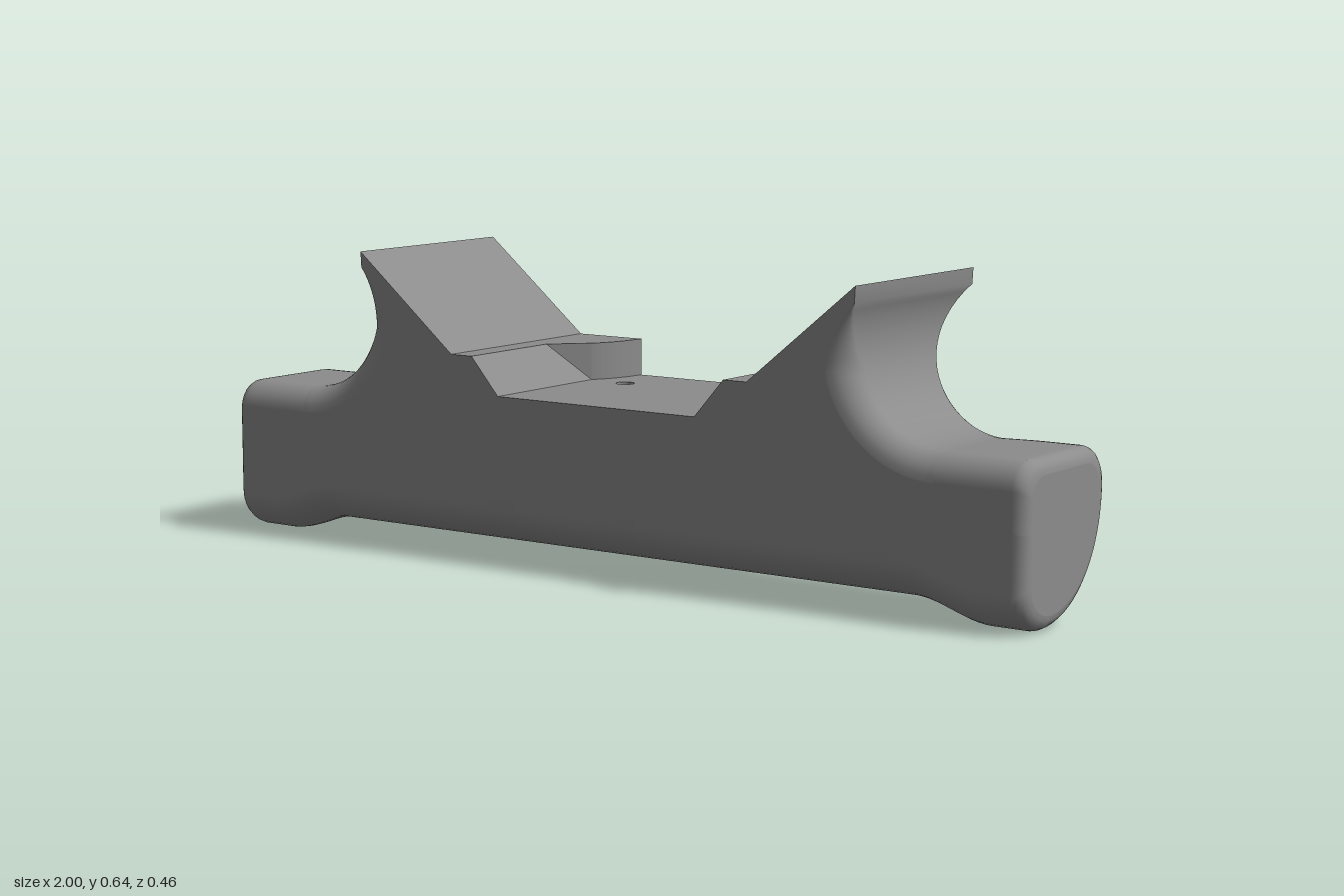
import * as THREE from 'three';

const FRONT = 0.228, BACK = -0.228, HOLE_X = 0.155, HOLE_Z = -0.095;
const lerp = THREE.MathUtils.lerp;
const range = (a, b, n) => Array.from({ length: n + 1 }, (_, i) => lerp(a, b, i / n));

// Surface from a rectangular grid of points fn(i, j) -> [x, y, z]
function grid(ni, nj, fn, flip = false, flat = false) {
  const pos = [], idx = [];
  for (let i = 0; i < ni; i++) for (let j = 0; j < nj; j++) pos.push(...fn(i, j));
  for (let i = 0; i < ni - 1; i++) for (let j = 0; j < nj - 1; j++) {
    const a = i * nj + j, b = a + nj, c = b + 1, d = a + 1;
    if (flip) idx.push(a, c, b, a, d, c);
    else idx.push(a, b, c, a, c, d);
  }
  let g = new THREE.BufferGeometry();
  g.setAttribute('position', new THREE.Float32BufferAttribute(pos, 3));
  g.setIndex(idx);
  if (flat) g = g.toNonIndexed();
  g.computeVertexNormals();
  return g;
}

// Vertical screw clearance cut into the back of the grip
function carve(x, y, z) {
  const dx = Math.abs(Math.abs(x) - HOLE_X), r = 0.04;
  if (dx >= r || y > 0.305 || z > 0) return z;
  return Math.max(z, HOLE_Z + Math.sqrt(r * r - dx * dx));
}

// Closed cross-section of the grip at x, as [z, y]
function section(x, inset) {
  const f = THREE.MathUtils.smoothstep(Math.abs(x), 0.73, 0.9);
  const y0 = 0.04 * (1 - f), zb = -0.085 - 0.02 * f, pts = [[FRONT, 0.2]];
  const arc = (cz, cy, a, b, from, to, n) => range(from, to, n).forEach((d) => {
    const t = d * Math.PI / 180;
    pts.push([cz + a * Math.cos(t), cy + b * Math.sin(t)]);
  });
  arc(0.173, 0.28, 0.055, 0.055, 0, 90, 6);
  arc(zb + 0.07, 0.265, 0.07, 0.07, 90, 180, 7);
  arc(0.13, 0.26, 0.13 - zb, 0.26 - y0, 180, 270, 28);
  arc(0.13, y0 + 0.08, 0.098, 0.08, 270, 360, 8);
  pts.push([FRONT, 0.2]);
  const k = 1 - inset / 0.165;
  return pts.map(([z, y]) => [0.08 + (z - 0.08) * k, 0.17 + (y - 0.17) * k]);
}

// Cradle stations from the centre to the wing tip: top, lip underside, root on the grip
const TOP = [[0, 0.36], [0.1, 0.36], [0.21, 0.36], [0.25, 0.36], [0.32, 0.44], [0.375, 0.44], [0.625, 0.645]];
const LIP = [[0, 0.335], [0.1, 0.335], [0.21, 0.335], [0.25, 0.337], [0.32, 0.36], [0.375, 0.39], [0.623, 0.611]];
const ROOT = [[0, 0.24], [0.1, 0.24], [0.21, 0.24], [0.3, 0.24], [0.38, 0.24], [0.46, 0.24], [0.8, 0.335]];
const at = (path, u) => {
  const i = Math.min(5, Math.floor(u)), t = u - i;
  return [lerp(path[i][0], path[i + 1][0], t), lerp(path[i][1], path[i + 1][1], t)];
};

// Point on the cradle: v = -1 top, 0 lip, 1 root; the outer edge follows a concave arc
function cradlePoint(u, v, inset = 0) {
  const l = at(LIP, u);
  if (v <= 0) {
    const t = at(TOP, u);
    return [lerp(l[0], t[0], -v), lerp(l[1], t[1], -v)];
  }
  const b = at(ROOT, u), w = Math.pow(Math.max(0, u - 5), 1.3);
  const th = lerp(155.5, 270, v) * Math.PI / 180, R = 0.195 + inset;
  const ax = 0.8 + R * Math.cos(th), ay = 0.53 + R * Math.sin(th);
  return [
    lerp(l[0], b[0], v) + w * (ax - lerp(LIP[6][0], ROOT[6][0], v)),
    lerp(l[1], b[1], v) + w * (ay - lerp(LIP[6][1], ROOT[6][1], v)),
  ];
}
const frontRound = (v) => 0.055 * THREE.MathUtils.clamp(v * 3, 0, 1);
const backRound = (v) => (v > 0 ? 0.06 * v * v : 0);
const backZ = (u, v) => (v <= 0 ? BACK : -0.085 - 0.143 * Math.pow(1 - v, lerp(2.6, 4, u / 6)));

export function createModel() {
  const group = new THREE.Group();
  const grey = new THREE.MeshStandardMaterial({ color: 0x8c8c8c });
  grey.name = 'matte grey';
  const add = (name, geometry) => {
    const m = new THREE.Mesh(geometry, grey);
    m.name = name;
    group.add(m);
  };

  // Grip bar with flared, rounded ends
  const half = [[0, 0], ...range(0.1, 0.21, 28).map((x) => [x, 0]), [0.45, 0],
    ...range(0.7, 0.97, 16).map((x) => [x, 0])];
  for (const a of range(0, Math.PI / 2, 5).slice(1)) {
    half.push([0.97 + 0.03 * Math.sin(a), 0.03 * (1 - Math.cos(a))]);
  }
  const stations = [...half.slice(1).reverse().map(([x, e]) => [-x, e]), ...half];
  const loops = stations.map(([x, e]) => section(x, e).map(([z, y]) => [x, y, carve(x, y, z)]));
  const n = loops[0].length;
  add('grip', grid(loops.length, n, (i, j) => loops[i][j]));
  for (const s of [-1, 1]) {
    const ring = loops[s > 0 ? loops.length - 1 : 0];
    add('gripEnd', grid(n, 2, (i, j) => (j ? [s, 0.17, 0.08] : ring[i]), s > 0, true));
  }

  const us = [0, ...range(1, 2, 28), 3, 4, 5, ...range(5, 6, 14).slice(1)];
  const vs = range(0, 1, 24), allV = [-1, ...vs];
  const quarter = range(0, Math.PI / 2, 6);

  for (const s of [1, -1]) {
    const side = s > 0 ? 'left' : 'right', mirrored = s < 0;
    // Flat front of the cradle
    add(side + 'CradleFront', grid(us.length, allV.length, (i, j) => {
      const [x, y] = cradlePoint(us[i], allV[j], frontRound(allV[j]));
      return [s * x, y, FRONT];
    }, !mirrored));
    // Thin back lip
    add(side + 'CradleLip', grid(us.length, 2, (i, j) => {
      const [x, y] = cradlePoint(us[i], j - 1);
      return [s * x, y, BACK];
    }, mirrored));
    // Concave underside blending into the grip
    add(side + 'CradleUnderside', grid(us.length, vs.length, (i, j) => {
      const [x, y] = cradlePoint(us[i], vs[j], backRound(vs[j]));
      return [s * x, y, carve(x, y, backZ(us[i], vs[j]))];
    }, mirrored));
    // Outer neck surface with rounded front and back edges
    add(side + 'Neck', grid(allV.length, 14, (i, j) => {
      const v = allV[i], back = j > 6, a = quarter[back ? 13 - j : j];
      const r = back ? backRound(v) : frontRound(v), dz = r * (1 - Math.cos(a));
      const [x, y] = cradlePoint(6, v, r * (1 - Math.sin(a)));
      return [s * x, y, back ? backZ(6, v) + dz : FRONT - dz];
    }, mirrored));
    // Sloped seat, ledge and wing
    add(side + 'Wing', grid(4, 2, (i, j) => [s * TOP[i + 3][0], TOP[i + 3][1], j ? BACK : FRONT], mirrored, true));

    // Raised stop with a curved inner wall
    const stop = new THREE.Shape();
    stop.moveTo(s * 0.32, 0.03);
    stop.lineTo(s * 0.25, 0.1);
    stop.quadraticCurveTo(s * 0.215, 0.145, s * 0.208, 0.228);
    stop.lineTo(s * 0.32, 0.228);
    stop.closePath();
    const g = new THREE.ExtrudeGeometry(stop, { depth: 0.08, bevelEnabled: false, curveSegments: 10 });
    add(side + 'Stop', g.rotateX(-Math.PI / 2).translate(0, 0.36, 0));

    // Screw hole wall
    add(side + 'ScrewHole', grid(25, 2, (i, j) => {
      const a = i / 24 * Math.PI * 2;
      return [s * HOLE_X + 0.02 * Math.cos(a), j ? 0.305 : 0.36, HOLE_Z + 0.02 * Math.sin(a)];
    }, true));
  }

  // Cradle floor with two screw holes
  const floor = new THREE.Shape();
  floor.moveTo(-0.25, -FRONT);
  floor.lineTo(0.25, -FRONT);
  floor.lineTo(0.25, -BACK);
  floor.lineTo(-0.25, -BACK);
  floor.closePath();
  for (const s of [-1, 1]) floor.holes.push(new THREE.Path().absarc(s * HOLE_X, -HOLE_Z, 0.02, 0, Math.PI * 2, true));
  add('cradleFloor', new THREE.ShapeGeometry(floor, 24).rotateX(-Math.PI / 2).translate(0, 0.36, 0));

  return group;
}
